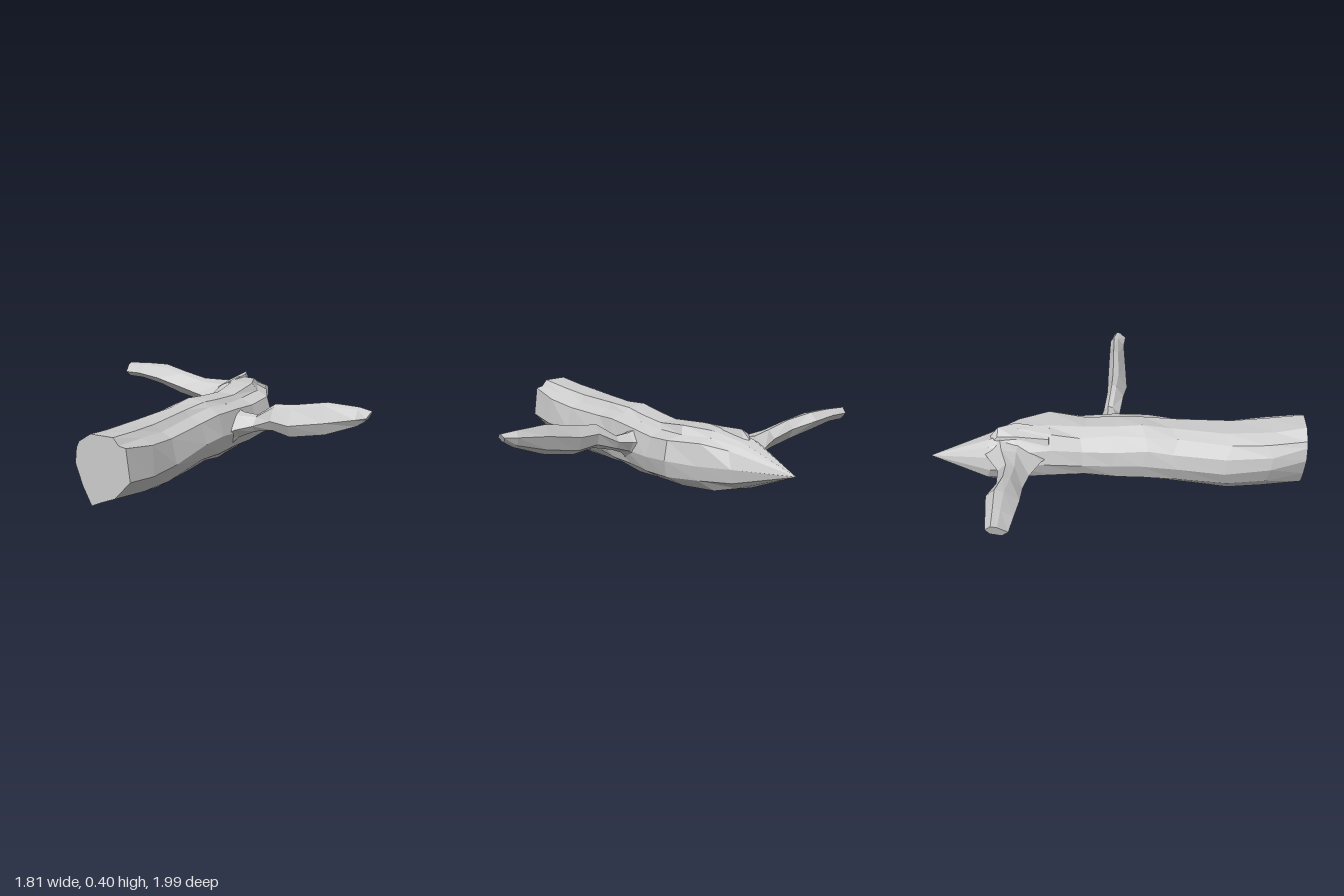
import * as THREE from 'three';

// Joins rings of equal point count into a closed faceted skin, facing outward.
function loft(rings) {
  const tris = [];
  const n = rings[0].length;
  for (let r = 0; r < rings.length - 1; r++) {
    for (let i = 0; i < n; i++) {
      const j = (i + 1) % n;
      const [a, b, c, d] = [rings[r][i], rings[r][j], rings[r + 1][j], rings[r + 1][i]];
      tris.push([a, b, c], [a, c, d]);
    }
  }
  const cap = (ring, flip) => {
    const mid = ring.reduce((s, p) => s.add(p), new THREE.Vector3()).divideScalar(n);
    ring.forEach((p, i) => {
      const q = ring[(i + 1) % n];
      tris.push(flip ? [mid, q, p] : [mid, p, q]);
    });
  };
  cap(rings[0], true);
  cap(rings[rings.length - 1], false);
  // A negative volume means the winding is inside out.
  const cross = new THREE.Vector3();
  const volume = tris.reduce((v, [a, b, c]) => v + a.dot(cross.crossVectors(b, c)), 0);
  if (volume < 0) tris.forEach((t) => t.reverse());
  const geometry = new THREE.BufferGeometry().setFromPoints(tris.flat());
  geometry.computeVertexNormals();
  return geometry;
}

function seeded(seed) {
  return () => {
    seed = (seed * 16807) % 2147483647;
    return seed / 2147483647 - 0.5;
  };
}

// Trunk outlines in a unit box: the sawn end and the rounder middle.
const sawn = [[-0.8, 0.77], [-0.38, 1], [0.45, 0.95], [0.6, 0.8], [0.88, 0.7], [1, -0.2],
  [0.38, -0.7], [0, -0.86], [-0.45, -1], [-0.75, -0.45], [-1, 0.1], [-0.93, 0.55]];
const round = [[-0.66, 0.8], [-0.3, 1], [0.3, 0.96], [0.46, 0.76], [0.84, 0.62], [1, -0.05],
  [0.84, -0.6], [0.33, -0.96], [-0.35, -1], [-0.8, -0.62], [-1, -0.1], [-0.9, 0.42]];

// Each row: z, x from, x to, y from, y to, share of the sawn outline.
const trunkRows = [
  [0.99, -0.185, 0.12, 0.025, 0.38, 1],
  [0.8, -0.23, 0.14, 0.01, 0.365, 0.6],
  [0.58, -0.24, 0.135, 0, 0.35, 0.3],
  [0.3, -0.205, 0.14, 0.03, 0.36, 0],
  [0.13, -0.2, 0.15, 0.035, 0.375, 0],
  [-0.02, -0.18, 0.16, 0.025, 0.365, 0],
  [-0.2, -0.175, 0.165, 0.04, 0.35, 0],
  [-0.38, -0.2, 0.185, 0.05, 0.375, 0],
  [-0.55, -0.22, 0.1, 0.05, 0.37, 0],
  [-0.68, -0.23, 0.01, 0.075, 0.335, 0],
  [-1, -0.137, -0.133, 0.213, 0.217, 0],
];

function trunkGeometry() {
  const rnd = seeded(77);
  return loft(trunkRows.map(([z, x0, x1, y0, y1, t], r) => {
    const tip = r === trunkRows.length - 1;
    return round.map(([u, v], i) => {
      const k = tip ? 0 : 0.08;
      const pu = THREE.MathUtils.clamp(u + (sawn[i][0] - u) * t + rnd() * k, -1, 1);
      const pv = THREE.MathUtils.clamp(v + (sawn[i][1] - v) * t + rnd() * k, -1, 1);
      // Both ends stay flat in z.
      const dz = tip || r === 0 ? 0 : rnd() * 0.05;
      return new THREE.Vector3((x0 + x1) / 2 + pu * (x1 - x0) / 2,
        (y0 + y1) / 2 + pv * (y1 - y0) / 2, z + dz);
    });
  }));
}

// Branch outline as [z, y]: a ridge near the back and a long slope to the front.
const branchOutline = [[-1, 0.3], [-0.45, 1], [0.1, 0.8], [1, -0.2], [0.4, -1], [-0.6, -0.6]];

// Each row: x, z from, z to, y from, y to.
const branches = {
  leftBranch: [
    [0.08, -0.15, 0.1, 0.07, 0.31],
    [0.17, -0.11, 0.05, 0.16, 0.285],
    [0.25, -0.09, 0.0, 0.195, 0.28],
    [0.36, -0.07, 0.02, 0.22, 0.355],
    [0.47, -0.07, 0.04, 0.2, 0.365],
    [0.66, -0.065, 0.03, 0.235, 0.4],
    [0.83, -0.06, 0.02, 0.3, 0.395],
    [0.895, -0.04, 0.03, 0.335, 0.385],
  ],
  rightBranch: [
    [-0.12, -0.74, -0.36, 0.13, 0.34],
    [-0.23, -0.69, -0.41, 0.19, 0.32],
    [-0.36, -0.62, -0.46, 0.205, 0.325],
    [-0.5, -0.61, -0.48, 0.23, 0.355],
    [-0.64, -0.645, -0.48, 0.27, 0.38],
    [-0.78, -0.63, -0.495, 0.295, 0.378],
    [-0.89, -0.62, -0.51, 0.295, 0.37],
  ],
};

function branchGeometry(rows) {
  const last = rows.length - 1;
  return loft(rows.map(([x, z0, z1, y0, y1], r) => branchOutline.map(([u, v]) => {
    // The broken end leans outward at the top.
    const lean = r === last ? Math.sign(x) * v * 0.012 : 0;
    return new THREE.Vector3(x + lean, (y0 + y1) / 2 + v * (y1 - y0) / 2,
      (z0 + z1) / 2 + u * (z1 - z0) / 2);
  })));
}

// Raised slab of bark near the pointed end, with a steep edge on its left.
// Each row: z, x of the steep edge, top.
function barkGeometry() {
  const rows = [[-0.37, -0.06, 0.365], [-0.55, -0.045, 0.382], [-0.64, -0.085, 0.38], [-0.68, -0.1, 0.335]];
  return loft(rows.map(([z, x, top]) => [[-0.17, 0.28], [-0.155, top - 0.03], [x - 0.025, top], [x, 0.28]]
    .map(([px, y]) => new THREE.Vector3(px, y, z))));
}

export function createModel() {
  const wood = new THREE.MeshStandardMaterial({ color: 0xcccccc });
  wood.name = 'grey wood';
  wood.flatShading = true;
  const group = new THREE.Group();
  group.name = 'fallenLog';
  const add = (name, geometry) => {
    const mesh = new THREE.Mesh(geometry, wood);
    mesh.name = name;
    group.add(mesh);
  };
  add('trunk', trunkGeometry());
  add('raisedBark', barkGeometry());
  for (const [name, rows] of Object.entries(branches)) add(name, branchGeometry(rows));
  return group;
}
